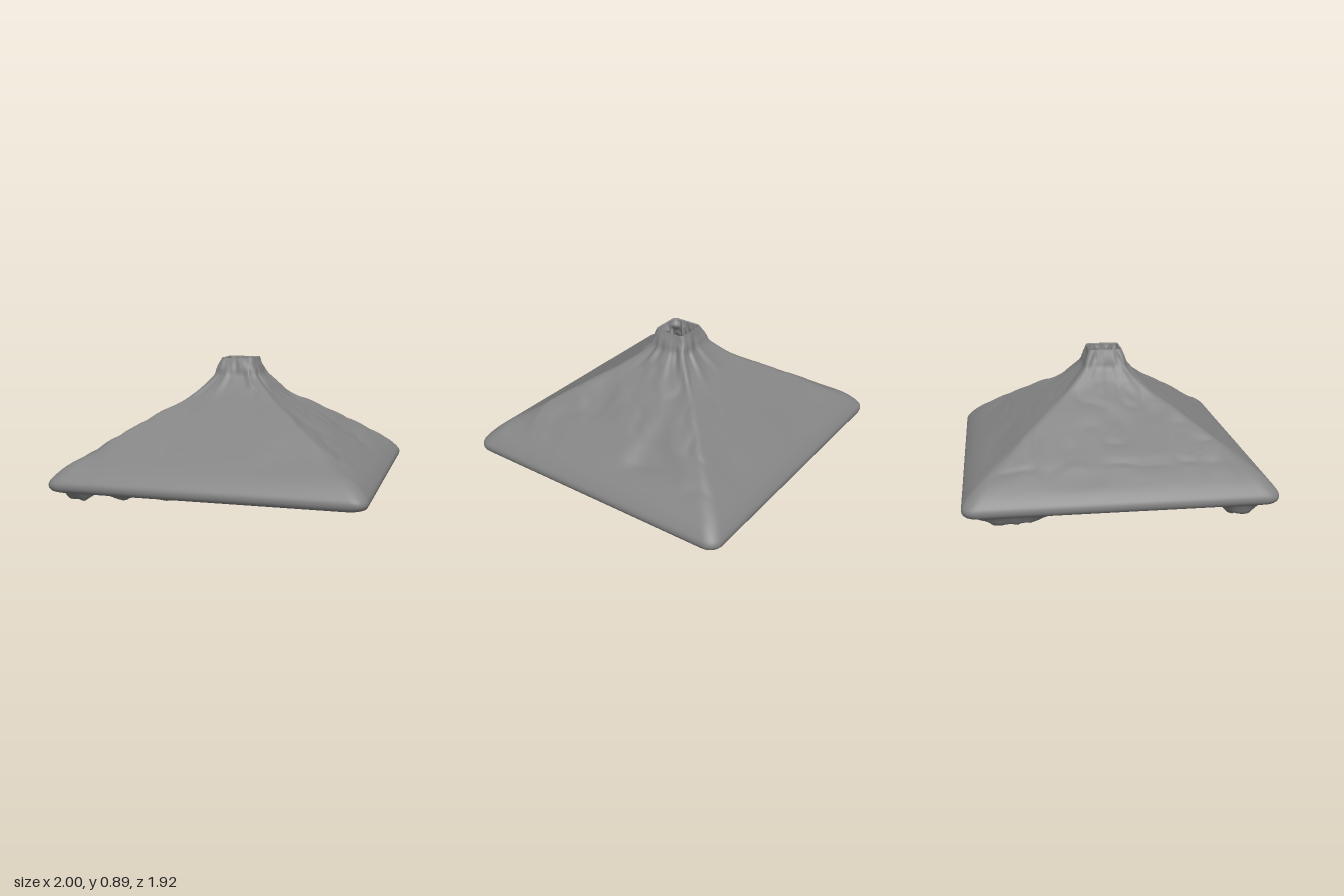
import * as THREE from 'three';

const SIDE = 56; // segments along each side of a square ring
const { clamp, smoothstep, lerp } = THREE.MathUtils;

// Seeded value noise in three dimensions, range -1..1
const hash = (x, y, z) => {
  const s = Math.sin(x * 127.1 + y * 311.7 + z * 74.7) * 43758.5453;
  return (s - Math.floor(s)) * 2 - 1;
};
function noise(x, y, z) {
  const [i, j, k] = [x, y, z].map(Math.floor);
  const [u, v, w] = [x - i, y - j, z - k].map(t => t * t * (3 - 2 * t));
  const row = (b, c) => lerp(hash(i, b, c), hash(i + 1, b, c), u);
  return lerp(lerp(row(j, k), row(j + 1, k), v), lerp(row(j, k + 1), row(j + 1, k + 1), v), w);
}
const ridged = (x, y, z) => 0.5 - Math.abs(noise(x, y, z));

// Point j of a rounded square ring with half width r
function ringPoint(j, r) {
  const side = Math.floor(j / SIDE);
  const t = Math.sin(((j % SIDE) / SIDE * 2 - 1) * Math.PI / 2);
  const [sx, sz] = [[1, t], [-t, 1], [-1, -t], [t, -1]][side];
  const a = r, b = r * (1 - 0.04 * r); // slightly shorter in z
  const corner = 0.03 + 0.055 * smoothstep(r, 0.6, 1);
  const x = sx * a, z = sz * b;
  const cx = clamp(x, corner - a, a - corner), cz = clamp(z, corner - b, b - corner);
  const d = Math.hypot(x - cx, z - cz) || 1;
  return new THREE.Vector3(cx + (x - cx) / d * corner, 0, cz + (z - cz) / d * corner);
}

// Skin square rings along a (half width, height) profile
function squareLoft(profile, rows, displace) {
  const pts = new THREE.SplineCurve(profile.map(p => new THREE.Vector2(...p))).getSpacedPoints(rows);
  const n = SIDE * 4, pos = [], index = [];
  pts.forEach(({ x: r, y }, i) => {
    for (let j = 0; j < n; j++) {
      const p = ringPoint(j, r);
      p.y = y;
      displace(p, r);
      pos.push(p.x, p.y, p.z);
      if (i === rows) continue;
      const a = i * n + j, b = i * n + (j + 1) % n;
      index.push(a, b, a + n, b, b + n, a + n);
    }
  });
  const g = new THREE.BufferGeometry();
  g.setAttribute('position', new THREE.Float32BufferAttribute(pos, 3));
  g.setIndex(index);
  g.computeVertexNormals();
  return g;
}

// Scale a point towards or away from the vertical axis
const pushOut = (p, s) => p.set(p.x * s, p.y, p.z * s);

// Erode the slopes: the two x sides are rougher, rim and lip stay clean
function weather(p, r) {
  const { x, y, z } = p;
  const rough = lerp(0.25, 1, smoothstep(Math.abs(x) - Math.abs(z), -0.1, 0.15));
  const fade = smoothstep(r, 0.14, 0.35) * (1 - smoothstep(r, 0.75, 0.95));
  const hollow = Math.max(0, noise(x * 4 + 2, 3, z * 4)) * 0.045;
  const gully = Math.max(0, ridged(x * 7, 7, z * 7)) * 0.02;
  p.y -= fade * rough * (hollow + gully);
  // Fluted neck below the spout
  const neck = (1 - smoothstep(r, 0.15, 0.36)) * (1 - smoothstep(y, 0.83, 0.89));
  pushOut(p, 1 + neck * 0.08 * noise(x / r * 5, y * 8, z / r * 5));
}

// Hanging lumps below the rim: x, z, lowest height, radius in x, radius in z
const lumps = [
  [-0.83, -0.66, 0.025, 0.2, 0.2], [-0.86, 0.72, 0.012, 0.13, 0.11], [0.74, -0.6, 0.065, 0.13, 0.13],
  [-0.5, 0.88, 0.06, 0.05, 0.05], [-0.22, 0.92, 0.07, 0.035, 0.035],
];

// Crumpled cavity with folds and lumps
function crumple(p, r) {
  const { x, y, z } = p;
  const fade = smoothstep(r, 0.12, 0.28) * (1 - smoothstep(r, 0.75, 0.93));
  const bend = noise(x * 3, 5, z * 3) * 0.9;
  p.y += fade * (0.02 * noise(x * 5, y * 3, z * 5 + 9)
    - 0.11 * Math.max(0, ridged(x * 4 + bend, 2, z * 4 - bend)) - 0.02 * ridged(x * 12, 6, z * 12));
  const edge = 1 - smoothstep(r, 0.93, 0.965);
  for (const [lx, lz, low, rx, rz] of lumps) {
    const g = edge * Math.exp(-((((x - lx) / rx) ** 2 + ((z - lz) / rz) ** 2) ** 2));
    p.y = lerp(p.y, Math.min(p.y, low + 0.018 * noise(x * 22, 1, z * 22)), g);
  }
  // Jagged throat, pushed in most on the front side
  const throat = (1 - smoothstep(r, 0.11, 0.15)) * (1 - smoothstep(y, 0.84, 0.885));
  const bite = lerp(0.25, 0.55, smoothstep(z, 0.02, 0.09));
  pushOut(p, 1 - throat * bite * Math.abs(noise(x * 30, y * 14, z * 30)));
  p.y = Math.max(p.y, 0);
}

export function createModel() {
  const group = new THREE.Group();
  const material = new THREE.MeshStandardMaterial({ color: 0x848484, side: THREE.DoubleSide });
  const add = (name, geometry) => {
    const mesh = new THREE.Mesh(geometry, material);
    mesh.name = name;
    group.add(mesh);
  };

  // Outer slopes, from the spout lip down round the rim
  add('outerSlopes', squareLoft([
    [0.11, 0.89], [0.135, 0.82], [0.165, 0.755], [0.28, 0.65], [0.42, 0.56], [0.6, 0.445],
    [0.8, 0.32], [0.92, 0.235], [0.985, 0.17], [1, 0.135], [0.99, 0.105], [0.965, 0.092],
  ], 110, weather));

  // Underside, from the rim up into the cavity and throat
  add('crumpledUnderside', squareLoft([
    [0.965, 0.092], [0.925, 0.09], [0.88, 0.11], [0.8, 0.185], [0.7, 0.27], [0.5, 0.415],
    [0.32, 0.535], [0.19, 0.645], [0.13, 0.74], [0.105, 0.82], [0.1, 0.885],
  ], 110, crumple));

  // Thin lip joining the two skins
  add('spoutLip', squareLoft([[0.1, 0.885], [0.105, 0.89], [0.11, 0.89]], 2, () => {}));
  return group;
}
